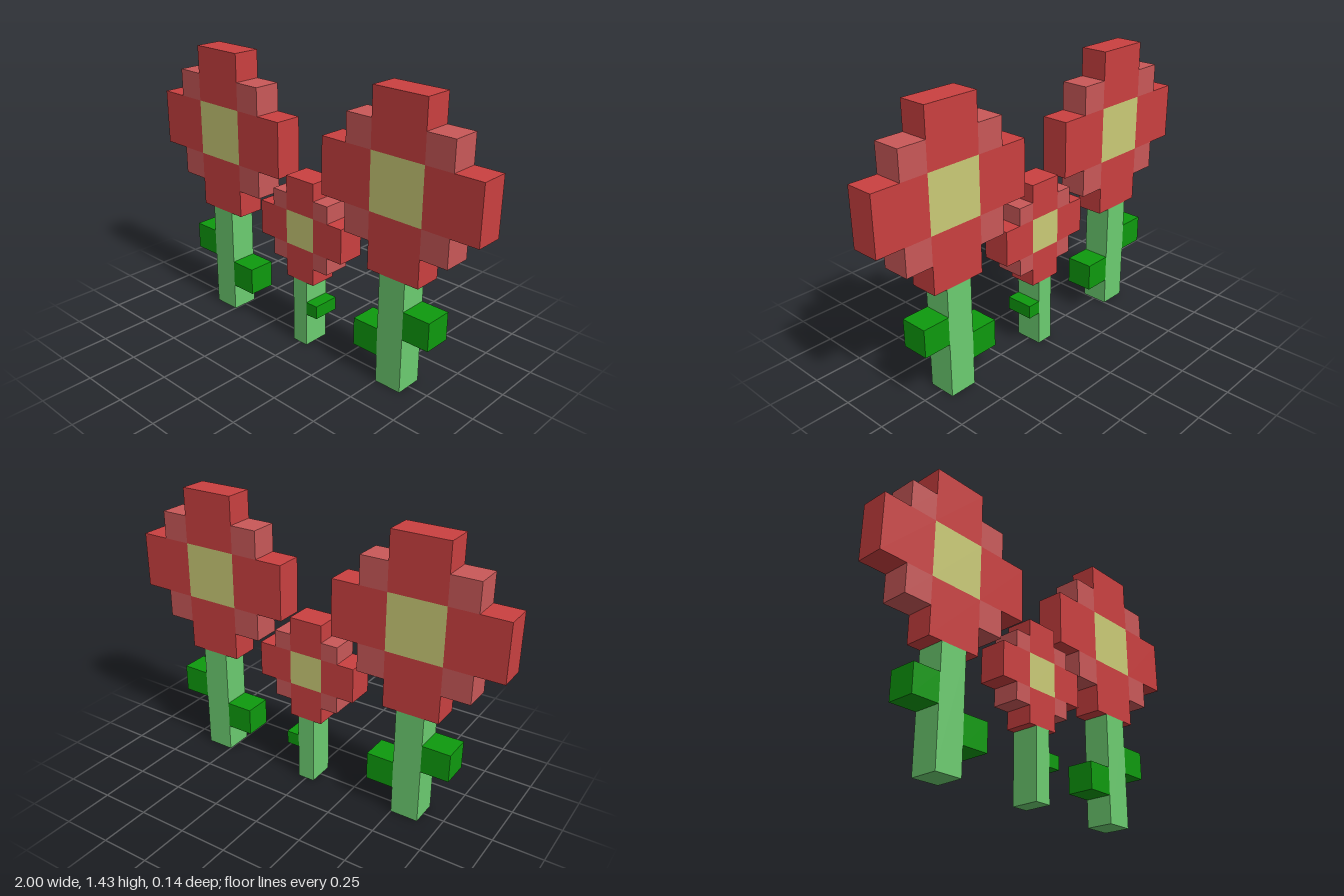
import * as THREE from 'three';

const U = 1 / 7; // block unit, also the common depth

const mat = (color) => new THREE.MeshStandardMaterial({ color, flatShading: true });
const mats = {
  petal: mat(0xca4040),
  cornerPetal: mat(0xc95858),
  centre: mat(0xcaca76),
  stem: mat(0x6ccc70),
  leaf: mat(0x0e9a0e),
};

// One blocky flower; s is the block size, leaves are [side, bottom, size] in blocks
function flower(name, x, s, leaves) {
  const g = new THREE.Group();
  g.name = name;
  g.position.x = x;

  const block = (part, cx, cy, w, h) => {
    const mesh = new THREE.Mesh(new THREE.BoxGeometry(w * s, h * s, U), mats[part]);
    mesh.name = part;
    mesh.position.set(cx * s, cy * s, 0);
    g.add(mesh);
  };

  // Stem and flower head centre
  block('stem', 0, 2, 1, 4);
  block('centre', 0, 7, 2, 2);

  // Four large petals with small ones in the corners between them
  for (const a of [-1, 1]) {
    block('petal', 2 * a, 7, 2, 2);
    block('petal', 0, 7 + 2 * a, 2, 2);
    for (const b of [-1, 1]) block('cornerPetal', 1.5 * a, 7 + 1.5 * b, 1, 1);
  }

  // Leaves touch the stem's sides
  for (const [side, bottom, size] of leaves) {
    block('leaf', side * (0.5 + size / 2), bottom + size / 2, size, size);
  }
  return g;
}

export function createModel() {
  const model = new THREE.Group();
  model.name = 'flowers';
  // Two tall flowers mirrored about the middle
  for (const side of [-1, 1]) {
    model.add(flower(side < 0 ? 'rightFlower' : 'leftFlower', side * 4 * U, U,
      [[side, 2, 1], [-side, 1, 1]]));
  }
  // Small flower between them
  model.add(flower('smallFlower', 0, 0.625 * U, [[1, 2, 0.77]]));
  return model;
}
